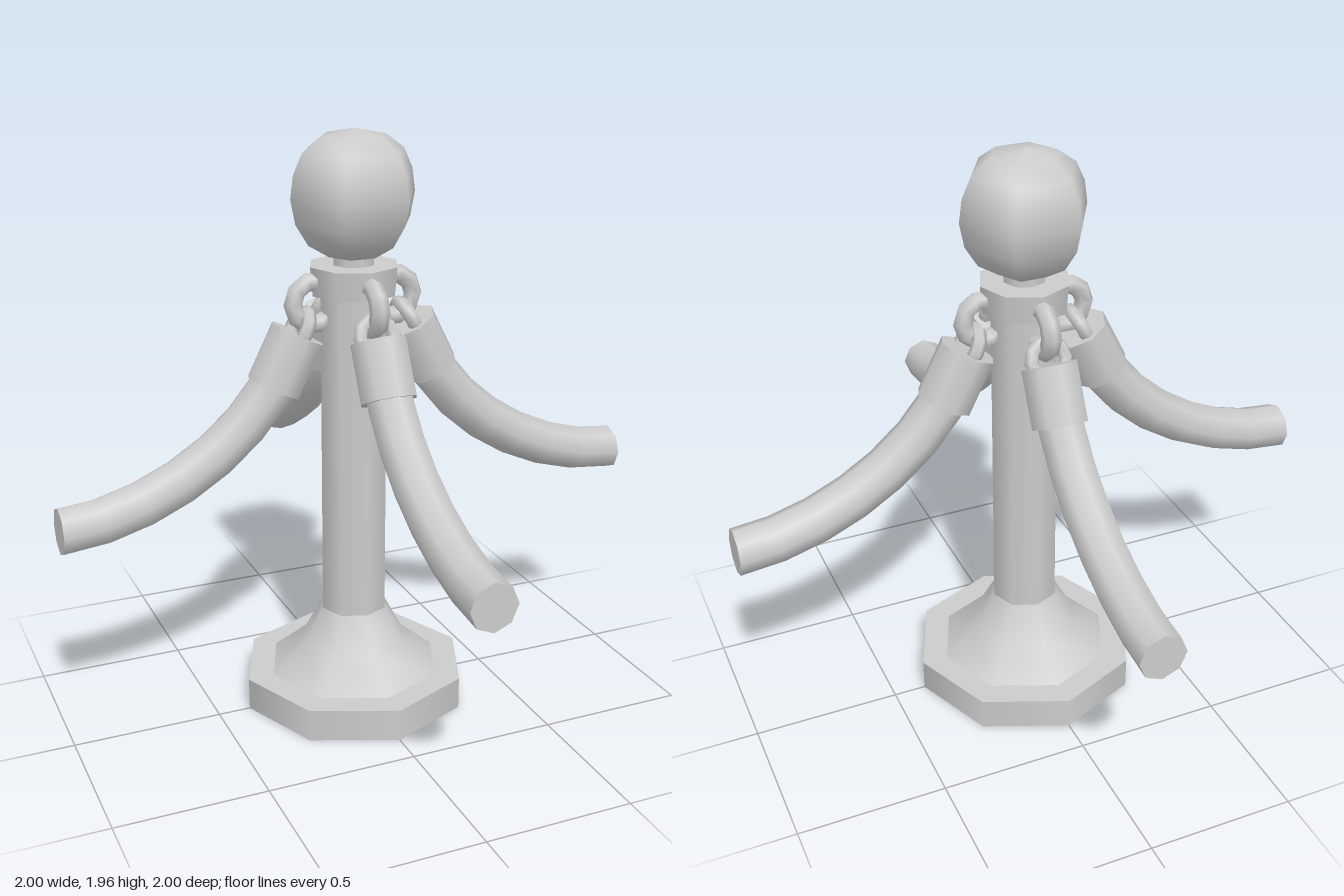
import * as THREE from 'three';

const mat = new THREE.MeshStandardMaterial({ color: 0xcccccc });
const SIDES = 8;

function add(parent, name, geometry, x = 0, y = 0, z = 0) {
  const mesh = new THREE.Mesh(geometry, mat);
  mesh.name = name;
  mesh.position.set(x, y, z);
  parent.add(mesh);
  return mesh;
}

const profile = (points) => points.map(([r, y]) => new THREE.Vector2(r, y));

// One hanging rope with its ferrule and two links, running out along +x
function createRope() {
  const rope = new THREE.Group();

  const curve = new THREE.CubicBezierCurve3(
    new THREE.Vector3(0.225, 1.265, 0),
    new THREE.Vector3(0.37, 0.93, 0),
    new THREE.Vector3(0.75, 0.765, 0),
    new THREE.Vector3(1, 0.765, 0)
  );
  add(rope, 'ropeCord', new THREE.TubeGeometry(curve, 7, 0.078, SIDES));
  add(rope, 'ropeEnd', new THREE.CircleGeometry(0.078, SIDES), 1, 0.765, 0).rotation.y = Math.PI / 2;

  // Ferrule and the link set in its top, tilted along the rope
  const ferrule = new THREE.Group();
  ferrule.name = 'ferruleGroup';
  ferrule.position.set(0.238, 1.235, 0);
  ferrule.rotation.z = 0.468;
  add(ferrule, 'ferrule', new THREE.CylinderGeometry(0.095, 0.095, 0.19, SIDES));
  add(ferrule, 'ferruleLink', new THREE.TorusGeometry(0.058, 0.024, 6, 10), 0, 0.11, 0).rotation.y = Math.PI / 2;
  rope.add(ferrule);

  // Link hanging from the collar
  add(rope, 'collarLink', new THREE.TorusGeometry(0.072, 0.032, 6, 10), 0.138, 1.415, 0);
  return rope;
}

export function createModel() {
  const model = new THREE.Group();
  model.name = 'ropeBarrierPost';

  // Foot and column
  add(model, 'basePlate', new THREE.CylinderGeometry(0.39, 0.39, 0.11, SIDES), 0, 0.055, 0);
  add(model, 'baseFlare', new THREE.LatheGeometry(
    profile([[0.3, 0.11], [0.18, 0.21], [0.115, 0.33]]), SIDES));
  add(model, 'post', new THREE.CylinderGeometry(0.115, 0.115, 1.15, SIDES), 0, 0.905, 0);

  // Collar, neck and ball on top
  add(model, 'collar', new THREE.CylinderGeometry(0.15, 0.142, 0.095, SIDES), 0, 1.483, 0);
  add(model, 'neck', new THREE.CylinderGeometry(0.07, 0.07, 0.06, SIDES), 0, 1.55, 0);
  add(model, 'ball', new THREE.LatheGeometry(profile([
    [0, 1.545], [0.085, 1.558], [0.155, 1.6], [0.198, 1.67], [0.214, 1.75],
    [0.204, 1.825], [0.174, 1.89], [0.11, 1.938], [0, 1.96]
  ]), 6)).rotation.y = Math.PI / 2;

  // Four ropes around the post
  ['leftRope', 'backRope', 'rightRope', 'frontRope'].forEach((name, i) => {
    const rope = createRope();
    rope.name = name;
    rope.rotation.y = i * Math.PI / 2;
    model.add(rope);
  });

  return model;
}
